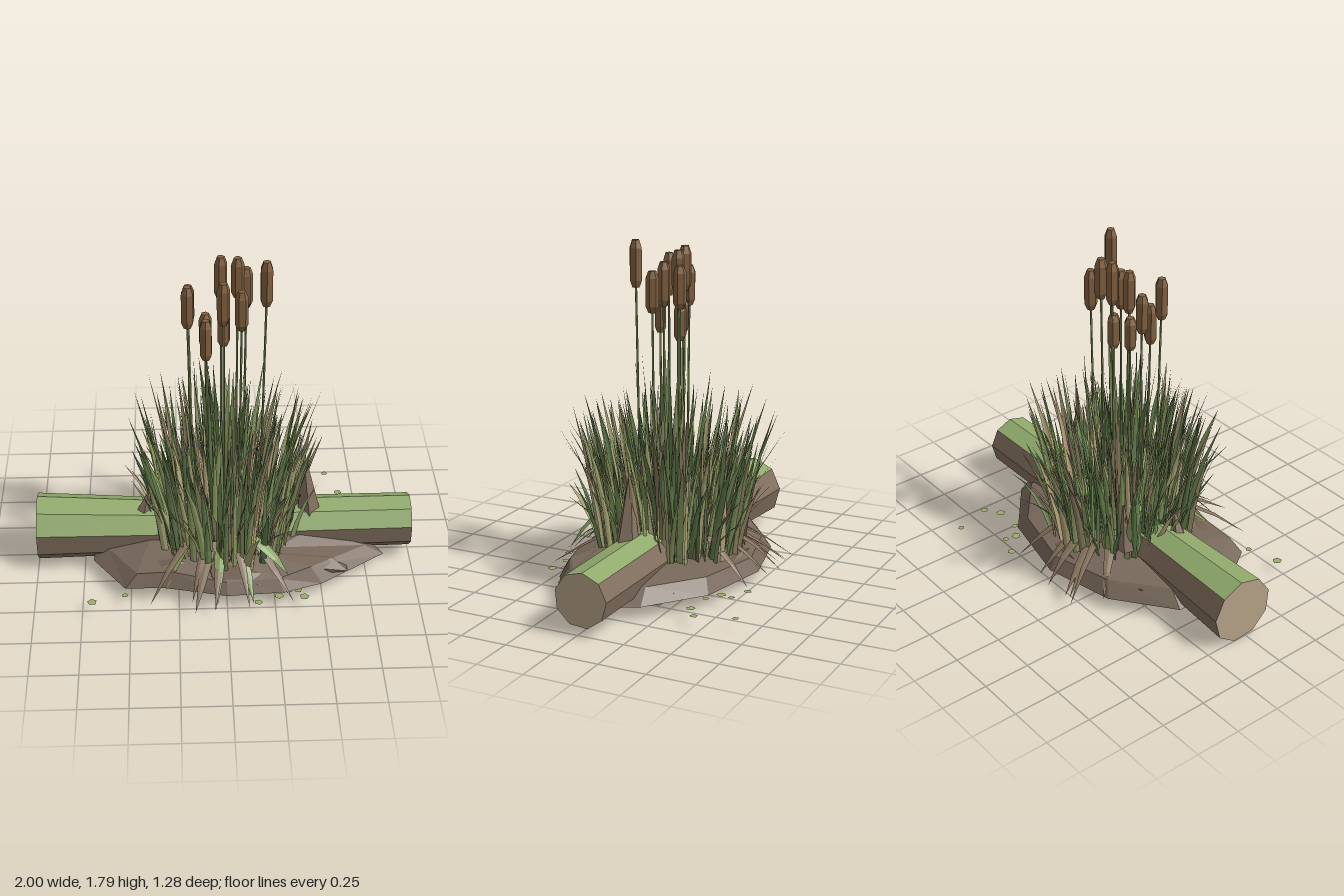
import * as THREE from 'three';
import { mergeGeometries } from 'three/addons/utils/BufferGeometryUtils.js';

const V = (x, y, z) => new THREE.Vector3(x, y, z);
const paint = (color, double) => new THREE.MeshStandardMaterial({
  color, flatShading: true, side: double ? THREE.DoubleSide : THREE.FrontSide,
});

// Small seeded generator
let seed = 7;
const rnd = (a = 0, b = 1) => {
  seed = (seed * 16807) % 2147483647;
  return a + (b - a) * (seed / 2147483647);
};

// Surface through rings of equal length, as a plain triangle list
function loft(rings, keep = () => true) {
  const pos = [];
  const tri = (...p) => p.forEach((v) => pos.push(v.x, v.y, v.z));
  for (let r = 0; r < rings.length - 1; r++) {
    const a = rings[r], b = rings[r + 1], n = a.length;
    for (let i = 0; i < n; i++) {
      if (!keep(i)) continue;
      const j = (i + 1) % n;
      tri(a[i], a[j], b[i]);
      tri(a[j], b[j], b[i]);
    }
  }
  const g = new THREE.BufferGeometry();
  g.setAttribute('position', new THREE.Float32BufferAttribute(pos, 3));
  g.computeVertexNormals();
  return g;
}

// Folded leaf along a bent path, tapering to a point; its flat side faces the given angle
function leaf(base, mid, tip, width, facing, steps = 3) {
  const path = new THREE.QuadraticBezierCurve3(base, mid, tip);
  const side = V(-Math.sin(facing), 0, Math.cos(facing));
  const fold = V(Math.cos(facing), 0, Math.sin(facing));
  const rows = [];
  for (let i = 0; i <= steps; i++) {
    const t = i / steps, w = width * (1 - t * t) * (0.85 + 0.45 * t) / 2, c = path.getPoint(t);
    rows.push([c.clone().addScaledVector(side, -w),
      c.clone().addScaledVector(fold, w * 0.25),
      c.clone().addScaledVector(side, w)]);
  }
  return loft(rows, (i) => i < 2);
}

export function createModel() {
  seed = 7;
  const model = new THREE.Group();
  const add = (name, geometry, color, double = false) => {
    const mesh = new THREE.Mesh(geometry, paint(color, double));
    mesh.name = name;
    model.add(mesh);
  };

  // Fallen log: nine sides, three of them mossy
  const sections = [[-1, 0.18, -0.027, 0.18], [-0.4, 0.18, -0.01, 0.155], [0.25, 0.182, -0.012, 0.147], [1, 0.187, -0.017, 0.143]];
  const logRings = sections.map(([x, y, z, r]) => Array.from({ length: 9 }, (_, i) => {
    const a = THREE.MathUtils.degToRad(-45 + 40 * i);
    return V(x, y + r * Math.cos(a), z + r * Math.sin(a));
  }));
  add('logBark', loft(logRings, (i) => i > 2), 0x83705f);
  add('logMoss', loft(logRings, (i) => i <= 2), 0x90aa6c);
  const endCap = (k, flip) => {
    const [x, y, z] = sections[k];
    const hub = logRings[k].map(() => V(x, y, z));
    return loft(flip ? [hub, logRings[k]] : [logRings[k], hub]);
  };
  add('logEnds', mergeGeometries([endCap(0, true), endCap(3, false)]), 0xb8a387);

  // Mud mound: faceted rings around an irregular outline
  const outline = [[0.85, 0.14], [0.5, 0.39], [0.3, 0.46], [0, 0.48], [-0.33, 0.4], [-0.53, 0.4], [-0.7, 0.15],
    [-0.7, -0.18], [-0.4, -0.41], [-0.02, -0.5], [0.4, -0.41], [0.69, -0.18]];
  const levels = [[0, 0.04], [0.72, 0.035], [1, 0.07], [0.88, 0.14], [0.55, 0.19], [0, 0.21]];
  const moundRings = levels.map(([s, y], k) => outline.map(([x, z]) => {
    const jitter = k > 2 && k < 5 ? rnd(-0.02, 0.02) : 0;
    return V(x * s, y + jitter, z * (k === 3 ? 0.92 : s));
  }));
  add('mudMound', loft(moundRings.reverse()), 0x77675a);

  // Flat clods lying on the mound
  const clods = [[0.42, 0.27, 0.26], [0.1, 0.36, 0.24], [-0.33, 0.29, 0.22], [-0.38, -0.24, 0.2], [0.02, -0.37, 0.22], [0.38, -0.23, 0.2]];
  add('mudClods', mergeGeometries(clods.map(([x, z, s], i) => new THREE.IcosahedronGeometry(1, 0)
    .rotateY(i * 1.3).scale(s, 0.05, s * 0.36).rotateZ(x > 0 ? -0.12 : 0.12).translate(x, 0.12, z))), 0x70604f);

  // Broken wood splinters beside the reeds
  const splinter = (x, y, z, r, h, tilt) => new THREE.CylinderGeometry(r * 0.12, r, h, 5)
    .rotateZ(tilt).translate(x, y + h / 2, z);
  add('splinters', mergeGeometries([
    splinter(0.435, 0.26, 0.02, 0.068, 0.38, 0.1),
    splinter(-0.42, 0.26, 0.03, 0.05, 0.17, -0.25),
    splinter(-0.3, 0.25, -0.22, 0.045, 0.26, -0.1),
  ]), 0x877363);

  // Reed leaves, sorted into a few colours
  const tints = [0x5f7a4b, 0x758f58, 0x8d9e63, 0xaaa675, 0xb5a27a, 0x85745b];
  const bins = tints.map(() => []);
  const pickTint = () => [0, 0, 0, 1, 1, 1, 2, 2, 2, 3, 3, 4, 4, 5][Math.floor(rnd(0, 14))];
  const reed = (a, r, h, reach, width, tint) => {
    const b = a + rnd(-0.5, 0.5), dx = Math.cos(b) * reach, dz = Math.sin(b) * reach;
    const base = V(Math.cos(a) * r, 0.15, Math.sin(a) * r * 1.05);
    const tip = V(base.x + dx, h, base.z + dz);
    const mid = V(base.x + dx * 0.25, 0.15 + (h - 0.15) * 0.55, base.z + dz * 0.25);
    bins[tint].push(leaf(base, mid, tip, width, b + rnd(-1.3, 1.3)));
  };
  for (let i = 0; i < 350; i++) {
    const r = 0.375 * Math.sqrt(rnd());
    const reach = rnd(0.03, 0.1) + r * rnd(0.05, 0.32);
    reed(i * 2.39996, r, rnd(0.45, 0.92) + 0.14 * (1 - r / 0.375), reach, rnd(0.028, 0.048), pickTint());
  }
  // Tall leaves in the middle
  for (let i = 0; i < 16; i++) reed(i * 2.4, rnd(0.02, 0.14), rnd(1, 1.25), rnd(0.02, 0.1), 0.04, i % 3);
  // Leaning leaves along the rim
  for (let i = 0; i < 26; i++) reed(i * 2.39996, rnd(0.24, 0.33), rnd(0.55, 1.02), rnd(0.13, 0.2), 0.034, pickTint());
  // Thin wisps leaning far out to front and back
  for (let i = 0; i < 14; i++) {
    const a = (i % 2 ? 1 : -1) * Math.PI / 2 + rnd(-0.6, 0.6);
    reed(a, 0.3, rnd(0.42, 0.8), rnd(0.22, 0.32), 0.016, i % 3 ? 5 : 2);
  }
  bins.forEach((list, i) => add('reedLeaves' + (i + 1), mergeGeometries(list), tints[i], true));

  // Withered leaves sloping down to the ground
  const dead = [], fallen = [];
  for (let i = 0; i < 18; i++) {
    const a = (i % 2 ? 1 : -1) * Math.PI / 2 + rnd(-0.75, 0.75), dx = Math.cos(a), dz = Math.sin(a);
    const far = i < 2 ? 0.67 : rnd(0.5, 0.64), near = rnd(0.22, 0.3), bend = near + 0.14;
    (i % 6 === 5 ? fallen : dead).push(leaf(V(dx * near, 0.27, dz * near),
      V(dx * bend, rnd(0.2, 0.3), dz * bend), V(dx * far, 0.065, dz * far), rnd(0.045, 0.065), a));
  }
  fallen.push(leaf(V(0.13, 0.33, 0.33), V(0.22, 0.3, 0.38), V(0.32, 0.16, 0.43), 0.07, 0.9));
  add('witheredLeaves', mergeGeometries(dead), 0x85725c, true);
  add('fallenLeaves', mergeGeometries(fallen), 0x7f9b57, true);

  // Seed heads on thin stems: x, z, bottom, top
  const heads = [[0.205, 0.09, 1.56, 1.8], [-0.095, 0.105, 1.27, 1.49], [-0.185, 0.1, 1.45, 1.675], [-0.18, -0.02, 1.41, 1.62],
    [-0.095, -0.025, 1.28, 1.46], [0, -0.055, 1.26, 1.45], [-0.015, -0.075, 1.52, 1.75], [-0.005, 0.04, 1.43, 1.66],
    [0.07, -0.08, 1.52, 1.74], [0.115, -0.11, 1.45, 1.67], [0.085, 0.06, 1.41, 1.625]];
  const headParts = [], stems = [];
  heads.forEach(([x, z, lo, hi], i) => {
    const h = hi - lo;
    const profile = [[0, 0], [0.02, 0], [0.034, h * 0.15], [0.034, h * 0.83], [0.02, h], [0, h]];
    headParts.push(new THREE.LatheGeometry(profile.map(([r, y]) => new THREE.Vector2(r, y)), 6)
      .rotateY(i).translate(x, lo, z));
    const path = new THREE.LineCurve3(V(x * 0.88, 0.15, z * 0.88), V(x, lo + 0.02, z));
    stems.push(new THREE.TubeGeometry(path, 1, 0.006, 5));
  });
  add('seedHeads', mergeGeometries(headParts), 0x80603f);
  add('stems', mergeGeometries(stems), 0x8a9a60);

  // Small floating pads around the mound
  const pads = [[0.6, -0.65], [0.66, -0.455], [0.58, -0.4], [0.36, -0.52], [0.25, -0.56], [0.35, -0.46], [0.43, -0.41], [0.6, -0.23],
    [-0.7, 0.5], [-0.53, 0.45], [0.16, 0.53], [0.27, 0.48], [0.32, 0.44], [0.37, 0.435], [0.4, 0.49], [0.49, 0.3], [0.53, 0.25]];
  add('floatingPads', mergeGeometries(pads.map(([x, z], i) => new THREE.CircleGeometry(0.018 + (i % 3) * 0.004, 5)
    .rotateX(-Math.PI / 2).rotateY(i).translate(x, 0.065, z))), 0x9aac6a, true);

  return model;
}
